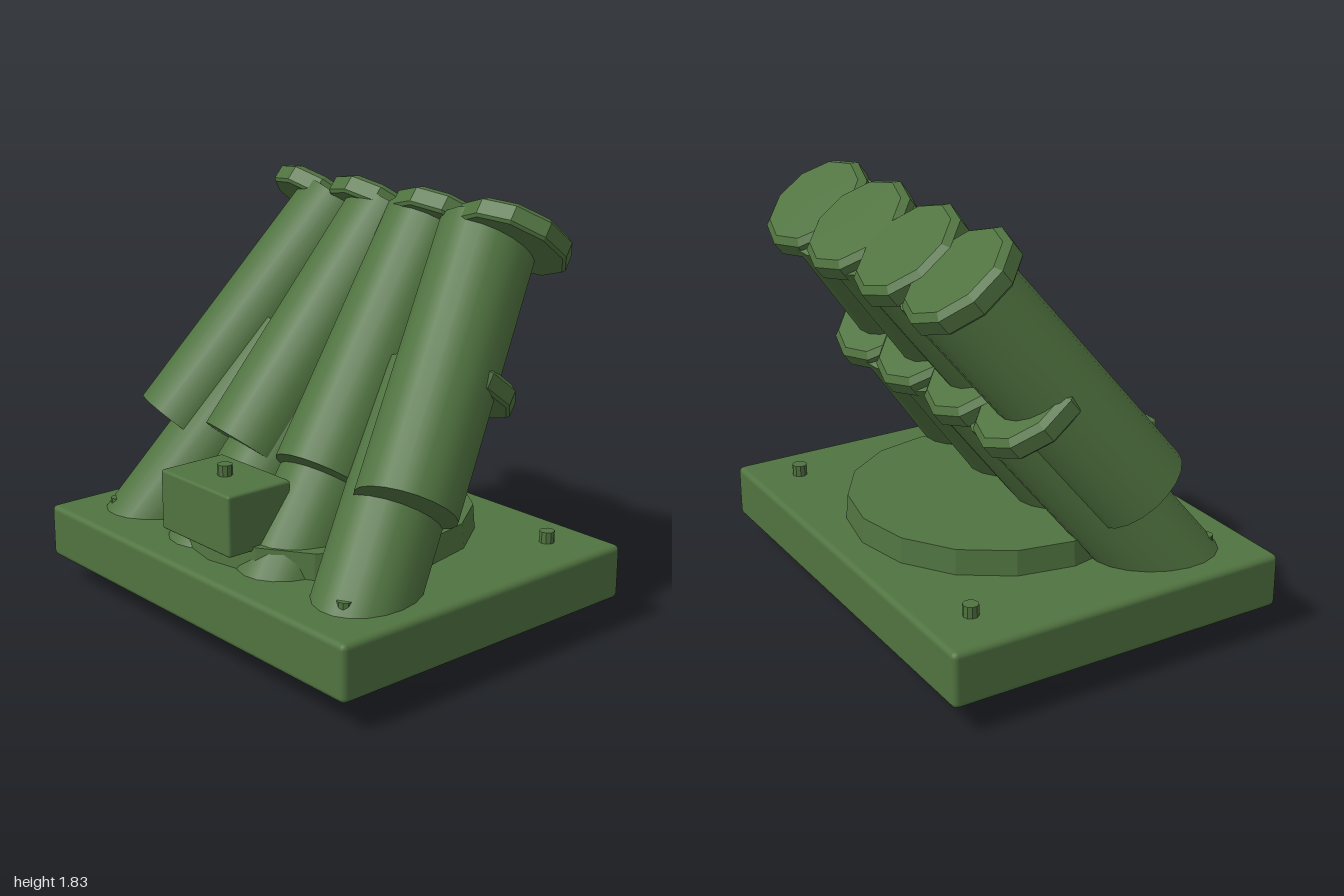
import * as THREE from 'three';
import { RoundedBoxGeometry } from 'three/addons/geometries/RoundedBoxGeometry.js';

const green = new THREE.MeshStandardMaterial({ color: 0x507340 });
green.name = 'olive green';
const plum = new THREE.MeshStandardMaterial({ color: 0x5a1f50 });
plum.name = 'plum';

const UP = new THREE.Vector3(0, 1, 0);
const SIDES = 10;

function add(parent, name, geometry, material, x, y, z) {
  const mesh = new THREE.Mesh(geometry, material);
  mesh.name = name;
  mesh.position.set(x, y, z);
  parent.add(mesh);
  return mesh;
}

// Faceted drum standing on its own origin
function drum(rTop, rBottom, height, sides) {
  const g = new THREE.CylinderGeometry(rTop, rBottom, height, sides).toNonIndexed();
  g.translate(0, height / 2, 0);
  g.computeVertexNormals();
  return g;
}

// Round tube between two points
function tube(parent, name, from, to, radius) {
  const dir = to.clone().sub(from);
  const geo = new THREE.CylinderGeometry(radius, radius, dir.length(), SIDES * 2);
  const mid = from.clone().add(to).multiplyScalar(0.5);
  const mesh = add(parent, name, geo, green, mid.x, mid.y, mid.z);
  mesh.quaternion.setFromUnitVectors(UP, dir.normalize());
}

// Collar with a bevelled lid, closing the upper end of a tube
function collar(parent, center, dir) {
  const g = new THREE.Group();
  g.name = 'endCollar';
  add(g, 'collarUnderBevel', drum(0.25, 0.238, 0.012, SIDES), green, 0, -0.1, 0);
  add(g, 'collarRing', drum(0.25, 0.25, 0.065, SIDES), green, 0, -0.088, 0);
  add(g, 'collarLid', drum(0.22, 0.25, 0.023, SIDES), green, 0, -0.023, 0);
  g.position.copy(center);
  g.quaternion.setFromUnitVectors(UP, dir);
  parent.add(g);
}

// Small nozzle with coloured contacts under a tube
function nozzle(parent, center, dir) {
  const g = new THREE.Group();
  g.name = 'nozzle';
  add(g, 'nozzleBody', drum(0.09, 0.09, 0.11, SIDES), green, 0, 0, 0);
  for (let i = 0; i < 4; i++) {
    const a = Math.PI / 4 + (i * Math.PI) / 2;
    const pin = add(g, 'contact', new THREE.BoxGeometry(0.014, 0.035, 0.009), plum,
      Math.sin(a) * 0.09, 0.03, Math.cos(a) * 0.09);
    pin.rotation.y = a;
  }
  g.position.copy(center);
  g.quaternion.setFromUnitVectors(UP, dir);
  parent.add(g);
}

export function createModel() {
  const model = new THREE.Group();
  model.name = 'tubeLauncher';

  // Base plate, turntable and corner bolts
  add(model, 'basePlate', new RoundedBoxGeometry(2, 0.24, 1.56, 2, 0.025), green, 0, 0.245, 0);
  add(model, 'turntable', drum(0.635, 0.645, 0.12, 16), green, 0, 0.355, 0);
  for (const sx of [-1, 1]) for (const sz of [-1, 1]) {
    add(model, 'bolt', drum(0.033, 0.033, 0.06, SIDES), green, sx * 0.77, 0.355, sz * 0.57);
  }

  // Control box with its knob
  add(model, 'controlBox', new RoundedBoxGeometry(0.46, 0.26, 0.32, 2, 0.012), green, 0, 0.585, 0.55);
  add(model, 'knob', drum(0.032, 0.032, 0.06, SIDES), green, 0, 0.702, 0.55);

  // Two rows of four tubes, leaning back and converging upward
  const columns = [
    { bottom: 0.25, top: 0.13, cap: 0.205 },
    { bottom: 0.745, top: 0.455, cap: 0.588 },
  ];
  const rows = [
    { name: 'upperTube', y: 0.70, z: 0.235, nozzles: false },
    { name: 'lowerTube', y: 0.14, z: 0.54, nozzles: true },
  ];
  const rise = 1.0, back = -0.765;
  for (const row of rows) for (const col of columns) for (const s of [-1, 1]) {
    const g = new THREE.Group();
    g.name = row.name;
    const from = new THREE.Vector3(s * col.bottom, row.y, row.z);
    const to = new THREE.Vector3(s * col.top, row.y + rise * 0.955, row.z + back * 0.955);
    tube(g, 'tubeBody', from, to, 0.214);
    const lean = s * (col.top - col.bottom) * 0.4;
    const dir = new THREE.Vector3(lean, rise, back).normalize();
    collar(g, new THREE.Vector3(s * col.cap, row.y + rise, row.z + back), dir);
    if (row.nozzles) {
      const straight = new THREE.Vector3(0, rise, back).normalize();
      nozzle(g, new THREE.Vector3(s * (col.cap - 0.01), 0.075, 0.6), straight);
    }
    model.add(g);
  }
  return model;
}
